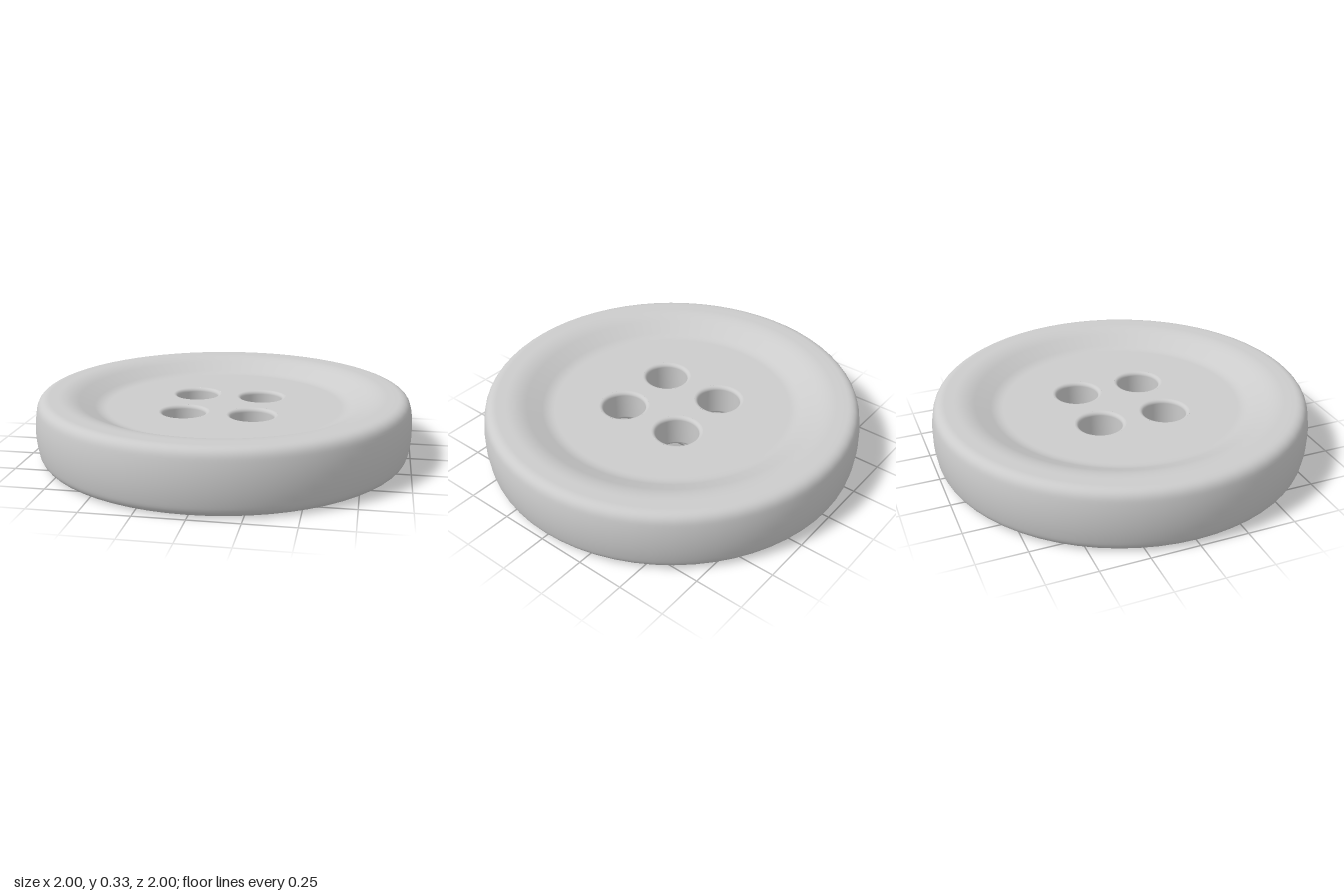
import * as THREE from 'three';

const SEG = 64;
const MID = 0.165;      // half of the button's thickness
const FLOOR = 0.09;     // height of the recessed face above the mid plane
const FLOOR_R = 0.63;
const HOLE_R = 0.113;
const HOLE_EDGE = 0.02; // rounding of the hole edges
const HOLE_POS = [[-0.18, -0.18], [0.18, -0.18], [-0.18, 0.18], [0.18, 0.18]];

// Mirrors a half profile that starts on the mid plane to the other side
function mirrorProfile(half) {
  const lower = half.slice(1).reverse().map((p) => new THREE.Vector2(p.x, -p.y));
  return [...lower, ...half];
}

export function createModel() {
  const group = new THREE.Group();
  group.name = 'button';
  const material = new THREE.MeshStandardMaterial({ color: 0xcccccc });
  const add = (geometry, name) => {
    const mesh = new THREE.Mesh(geometry, material);
    mesh.name = name;
    mesh.position.y = MID;
    group.add(mesh);
    return mesh;
  };

  // Rim: slightly bulged wall, rounded edge, flat top and a soft slope inward
  const rim = new THREE.Path();
  rim.moveTo(1, 0);
  rim.quadraticCurveTo(1, 0.06, 0.988, 0.115);
  rim.quadraticCurveTo(0.977, MID, 0.925, MID);
  rim.lineTo(0.87, MID);
  rim.quadraticCurveTo(0.82, MID, 0.77, 0.1415);
  rim.lineTo(0.69, 0.104);
  rim.quadraticCurveTo(0.66, FLOOR, FLOOR_R, FLOOR);
  add(new THREE.LatheGeometry(mirrorProfile(rim.getPoints(8)), SEG), 'rim');

  // Recessed faces, pierced by four holes
  const face = new THREE.Shape();
  face.absarc(0, 0, FLOOR_R, 0, Math.PI * 2);
  for (const [x, z] of HOLE_POS) {
    const hole = new THREE.Path();
    hole.absarc(x, z, HOLE_R + HOLE_EDGE, 0, Math.PI * 2, true);
    face.holes.push(hole);
  }
  for (const side of [1, -1]) {
    const geometry = new THREE.ShapeGeometry(face, SEG);
    geometry.rotateX(-side * Math.PI / 2);
    geometry.translate(0, side * FLOOR, 0);
    add(geometry, side > 0 ? 'topFace' : 'bottomFace');
  }

  // Hole walls with rounded edges, facing the hole axis
  const half = [new THREE.Vector2(HOLE_R, 0)];
  for (let i = 0; i <= 6; i++) {
    const a = (i / 6) * Math.PI / 2;
    half.push(new THREE.Vector2(
      HOLE_R + HOLE_EDGE * (1 - Math.cos(a)),
      FLOOR - HOLE_EDGE * (1 - Math.sin(a))
    ));
  }
  const wall = new THREE.LatheGeometry(mirrorProfile(half).reverse(), SEG);
  for (const [x, z] of HOLE_POS) {
    const mesh = add(wall, 'threadHole');
    mesh.position.x = x;
    mesh.position.z = z;
  }

  return group;
}
